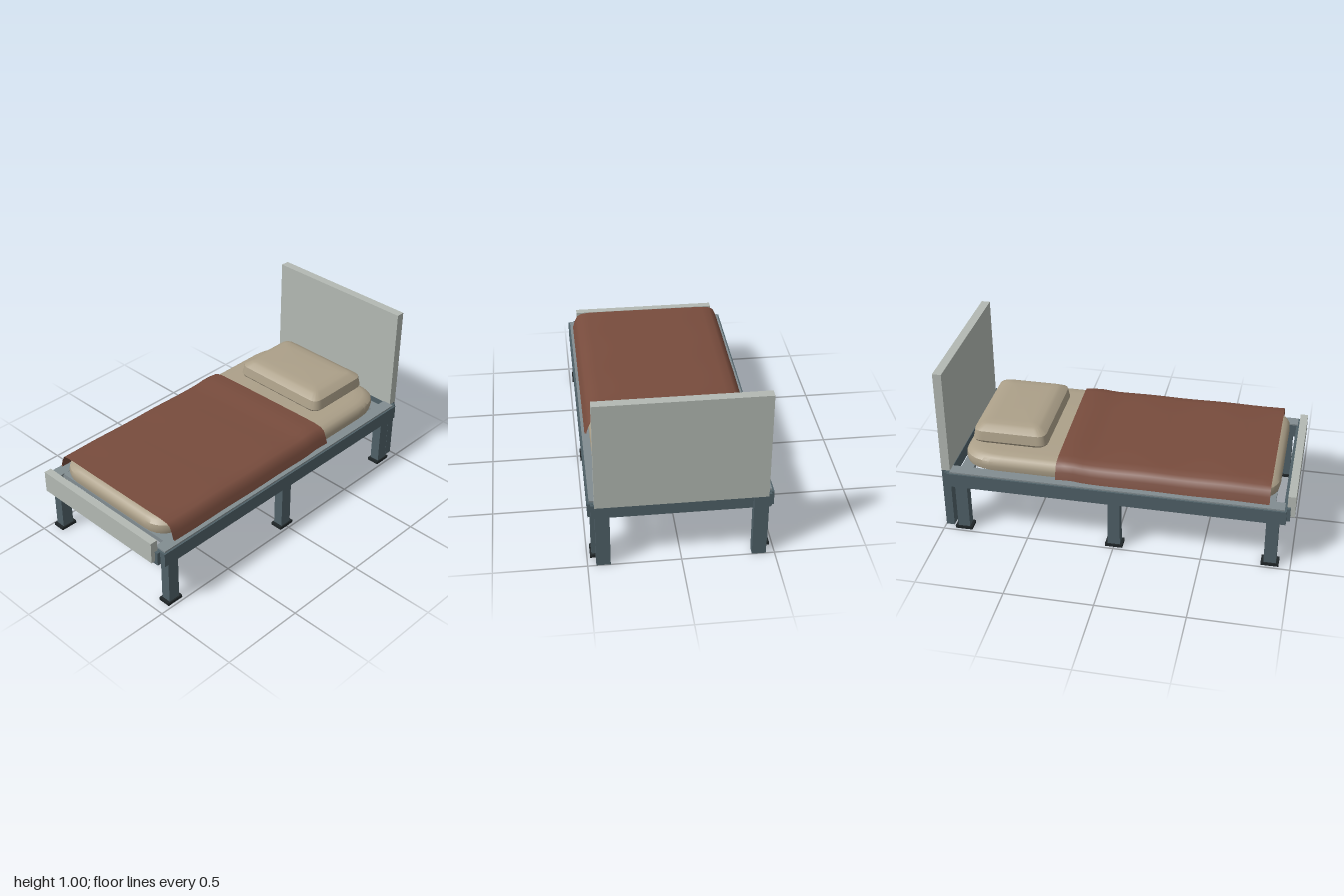
import * as THREE from 'three';
import { toCreasedNormals } from 'three/addons/utils/BufferGeometryUtils.js';

const paint = (name, color, extra = {}) => {
  const m = new THREE.MeshStandardMaterial({ color, ...extra });
  m.name = name;
  return m;
};

// Stack of rounded rectangles; profile rows are [y, inset], closed at both ends
function cushionGeometry(halfX, halfZ, radiusX, radiusZ, profile) {
  const steps = 8, ring = 4 * (steps + 1);
  const soft = (v) => Math.sign(v) * Math.abs(v) ** 0.85;
  const rows = [[profile[0][0], null], ...profile, [profile[profile.length - 1][0], null]];
  const pos = [], idx = [];
  for (const [y, inset] of rows) {
    for (let c = 0; c < 4; c++) {
      for (let s = 0; s <= steps; s++) {
        if (inset === null) { pos.push(0, y, 0); continue; }
        const a = (c + s / steps) * Math.PI / 2;
        const rx = Math.max(radiusX - inset * 0.5, 0.02), rz = Math.max(radiusZ - inset * 0.5, 0.02);
        const sx = c === 0 || c === 3 ? 1 : -1, sz = c < 2 ? 1 : -1;
        pos.push(
          sx * (halfX - inset - rx) + rx * soft(Math.cos(a)), y,
          sz * (halfZ - inset - rz) + rz * soft(Math.sin(a)));
      }
    }
  }
  for (let j = 0; j < rows.length - 1; j++) {
    for (let i = 0; i < ring; i++) {
      const n = (i + 1) % ring;
      const a = j * ring + i, b = a + ring, c = j * ring + n, d = c + ring;
      if (j > 0) idx.push(a, b, c);
      if (j < rows.length - 2) idx.push(c, b, d);
    }
  }
  const g = new THREE.BufferGeometry();
  g.setAttribute('position', new THREE.Float32BufferAttribute(pos, 3));
  g.setIndex(idx);
  return toCreasedNormals(g, 0.6);
}

// Thick draped cross-section swept along z with gentle waves
function blanketGeometry() {
  const outer = [[0.2, 0.497], [0.36, 0.496], [0.41, 0.49], [0.436, 0.475], [0.452, 0.44], [0.465, 0.4]];
  const inner = outer.map(([x, y], i) => [x - 0.002 * i, y - 0.002 * (5 - i)]);
  const across = (half) => [...half.map(([x, y]) => [-x, y]).reverse(), ...half];
  const section = [...across(outer), ...across(inner).reverse()];
  section.push(section[0]);
  const nx = section.length - 1, nz = 24;
  const g = new THREE.PlaneGeometry(1, 1, nx, nz);
  const p = g.attributes.position;
  for (let j = 0; j <= nz; j++) {
    for (let i = 0; i <= nx; i++) {
      const [x, y] = section[i];
      const head = -0.343 - x * 0.02;
      const z = head + (0.86 - head) * j / nz;
      const fold = 0.008 * Math.exp(-(((z + 0.26) / 0.06) ** 2));
      const wave = 0.0015 * Math.sin(z * 14 + x * 2);
      p.setXYZ(j * (nx + 1) + i, x, y + fold + wave, z);
    }
  }
  return toCreasedNormals(g, 0.8);
}

export function createModel() {
  const group = new THREE.Group();
  group.name = 'singleBed';

  const slate = paint('slateFrame', 0x4f6067);
  const grey = paint('greySlats', 0x828d91);
  const panel = paint('palePanel', 0xb3b9b3);
  const black = paint('blackFeet', 0x1f2527);
  const linen = paint('beigeLinen', 0xaca089);
  const wool = paint('brownBlanket', 0x784c3d, { side: THREE.DoubleSide });

  const add = (name, geometry, material) => {
    const mesh = new THREE.Mesh(geometry, material);
    mesh.name = name;
    group.add(mesh);
    return mesh;
  };
  // Box given by its extents on each axis
  const box = (name, material, x0, x1, y0, y1, z0, z1) =>
    add(name, new THREE.BoxGeometry(x1 - x0, y1 - y0, z1 - z0), material)
      .position.set((x0 + x1) / 2, (y0 + y1) / 2, (z0 + z1) / 2);
  // Same box on the left (+x) and right (-x)
  const pair = (name, material, x0, x1, ...rest) => {
    box(name + 'Left', material, x0, x1, ...rest);
    box(name + 'Right', material, -x1, -x0, ...rest);
  };

  // Frame
  pair('sideRail', slate, 0.418, 0.49, 0.295, 0.378, -0.96, 0.956);
  pair('railTopPlate', grey, 0.41, 0.48, 0.378, 0.387, -0.945, 0.945);
  box('footRail', slate, -0.455, 0.455, 0.296, 0.377, 0.937, 0.975);
  box('headRail', slate, -0.475, 0.475, 0.296, 0.377, -0.978, -0.947);

  // Slats
  const slats = 10;
  for (let i = 0; i < slats; i++) {
    const z = -0.86 + 1.715 * i / (slats - 1);
    box('slat', grey, -0.42, 0.42, 0.36, 0.386, z - 0.035, z + 0.035);
  }

  // Legs with flat feet
  for (const z of [-0.885, 0, 0.885]) {
    pair('leg', slate, 0.418, 0.475, 0.015, 0.296, z - 0.035, z + 0.035);
    pair('foot', black, 0.41, 0.483, 0, 0.017, z - 0.05, z + 0.05);
  }

  // Headboard on its own posts, and footboard
  box('headboard', panel, -0.455, 0.455, 0.378, 1, -1, -0.95);
  pair('headboardPost', slate, 0.378, 0.454, 0, 0.378, -0.999, -0.951);
  box('footboard', panel, -0.435, 0.435, 0.315, 0.445, 0.956, 1);

  // Bedding
  const mattress = cushionGeometry(0.44, 0.897, 0.16, 0.22, [
    [0.387, 0.03], [0.4, 0.006], [0.43, 0], [0.455, 0.004], [0.473, 0.02], [0.484, 0.045], [0.488, 0.09],
  ]);
  add('mattress', mattress, linen).position.z = 0.007;

  const pillow = cushionGeometry(0.311, 0.219, 0.06, 0.06, [
    [0.488, 0.02], [0.502, 0.004], [0.51, 0], [0.565, 0.01], [0.588, 0.045], [0.595, 0.065], [0.598, 0.11],
  ]);
  add('pillow', pillow, linen).position.z = -0.639;

  add('blanket', blanketGeometry(), wool);
  return group;
}
